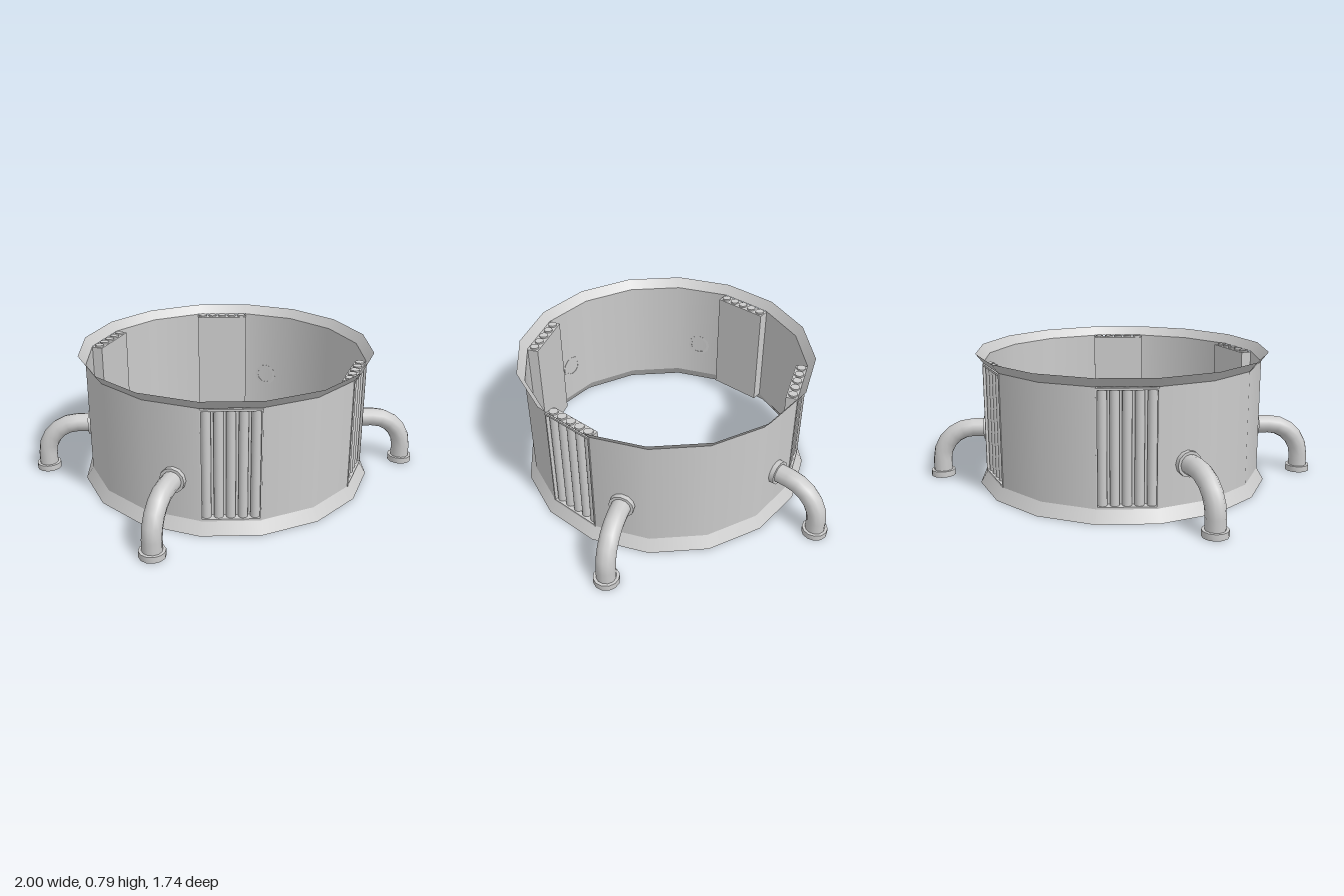
import * as THREE from 'three';
import { toCreasedNormals } from 'three/addons/utils/BufferGeometryUtils.js';

const SIDES = 16;
const STEP = (Math.PI * 2) / SIDES;
const WALL_R = 0.83, LIP_R = 0.872, LOW = 0.07, HIGH = 0.73, TOP = 0.785;

const solid = new THREE.MeshStandardMaterial({ color: 0xcccccc });
const thin = new THREE.MeshStandardMaterial({ color: 0xcccccc, side: THREE.DoubleSide });

function add(parent, name, geometry, material, x = 0, y = 0, z = 0) {
  const mesh = new THREE.Mesh(geometry, material);
  mesh.name = name;
  mesh.position.set(x, y, z);
  parent.add(mesh);
  return mesh;
}

// Sixteen-sided wall with four open bays, and a flared lip above and below
function createRing() {
  const ring = new THREE.Group();
  ring.name = 'ring';
  for (const [first, count] of [[2, 4], [7, 2], [10, 4], [15, 2]]) {
    add(ring, 'wallSection', new THREE.CylinderGeometry(WALL_R, WALL_R, HIGH - LOW, count, 1, true,
      first * STEP, count * STEP), thin, 0, (LOW + HIGH) / 2, 0);
  }
  add(ring, 'upperLip', new THREE.CylinderGeometry(LIP_R, WALL_R, TOP - HIGH, SIDES, 1, true),
    thin, 0, (HIGH + TOP) / 2, 0);
  add(ring, 'lowerLip', new THREE.CylinderGeometry(WALL_R, LIP_R, LOW, SIDES, 1, true),
    thin, 0, LOW / 2, 0);
  return ring;
}

// Recessed tray, open to the outside (+z), holding five upright rods
function createRodPanel() {
  const panel = new THREE.Group();
  panel.name = 'rodPanel';
  const width = 0.328, inner = 0.748, outer = 0.818, plate = 0.012;
  const depth = outer - inner, midZ = (inner + outer) / 2;
  const top = 0.725, height = top - LOW, midY = (top + LOW) / 2;
  add(panel, 'trayBack', new THREE.BoxGeometry(width, height, 0.022), solid, 0, midY, inner + 0.011);
  for (const y of [LOW + plate / 2, top - plate / 2]) {
    add(panel, 'trayEnd', new THREE.BoxGeometry(width, plate, depth), solid, 0, y, midZ);
  }
  for (const side of [-1, 1]) {
    add(panel, 'traySide', new THREE.BoxGeometry(0.008, height, depth), solid,
      side * (width / 2 - 0.004), midY, midZ);
  }
  const rod = new THREE.CylinderGeometry(0.026, 0.026, 0.735 - LOW - plate, 16);
  for (let i = -2; i <= 2; i++) {
    add(panel, 'rod', rod, solid, i * 0.0655, (0.735 + LOW + plate) / 2, 0.782);
  }
  return panel;
}

// Collar with a bore, its axis along y and its base at y = 0
function collarGeometry(radius, bore, height) {
  const points = [[bore, 0], [radius, 0], [radius, height], [bore, height], [bore, 0]]
    .map(([x, y]) => new THREE.Vector2(x, y));
  return toCreasedNormals(new THREE.LatheGeometry(points, 12), 0.7);
}

// Pipe leaving the wall along +x and bending down to the ground
function createPipe() {
  const pipe = new THREE.Group();
  pipe.name = 'elbowPipe';
  const r = 0.056, bend = 0.2, footX = 1.107, outletY = 0.3;
  const bendX = footX - bend, bendY = outletY - bend;
  const start = 0.812;
  add(pipe, 'straightRun', new THREE.CylinderGeometry(r, r, bendX - start, 12, 1, true),
    thin, (start + bendX) / 2, outletY, 0).rotation.z = -Math.PI / 2;
  add(pipe, 'bend', new THREE.TorusGeometry(bend, r, 12, 5, Math.PI / 2), thin, bendX, bendY, 0);
  add(pipe, 'downRun', new THREE.CylinderGeometry(r, r, bendY - 0.015, 12, 1, true),
    thin, footX, (bendY + 0.015) / 2, 0);
  add(pipe, 'footCollar', collarGeometry(0.073, 0.054, 0.036), thin, footX, 0, 0);
  add(pipe, 'wallCollar', collarGeometry(0.072, 0.054, 0.03), thin, start, outletY, 0)
    .rotation.z = -Math.PI / 2;
  return pipe;
}

export function createModel() {
  const model = new THREE.Group();
  model.name = 'ringStructure';
  model.add(createRing());

  // One panel in each open bay
  for (const bay of [1, 6, 9, 14]) {
    const panel = createRodPanel();
    panel.rotation.y = (bay + 0.5) * STEP;
    model.add(panel);
  }

  // Four pipes, beside the panels
  for (const degrees of [33, 145.7, 213, 325.7]) {
    const pipe = createPipe();
    pipe.rotation.y = -THREE.MathUtils.degToRad(degrees);
    model.add(pipe);
  }
  return model;
}
